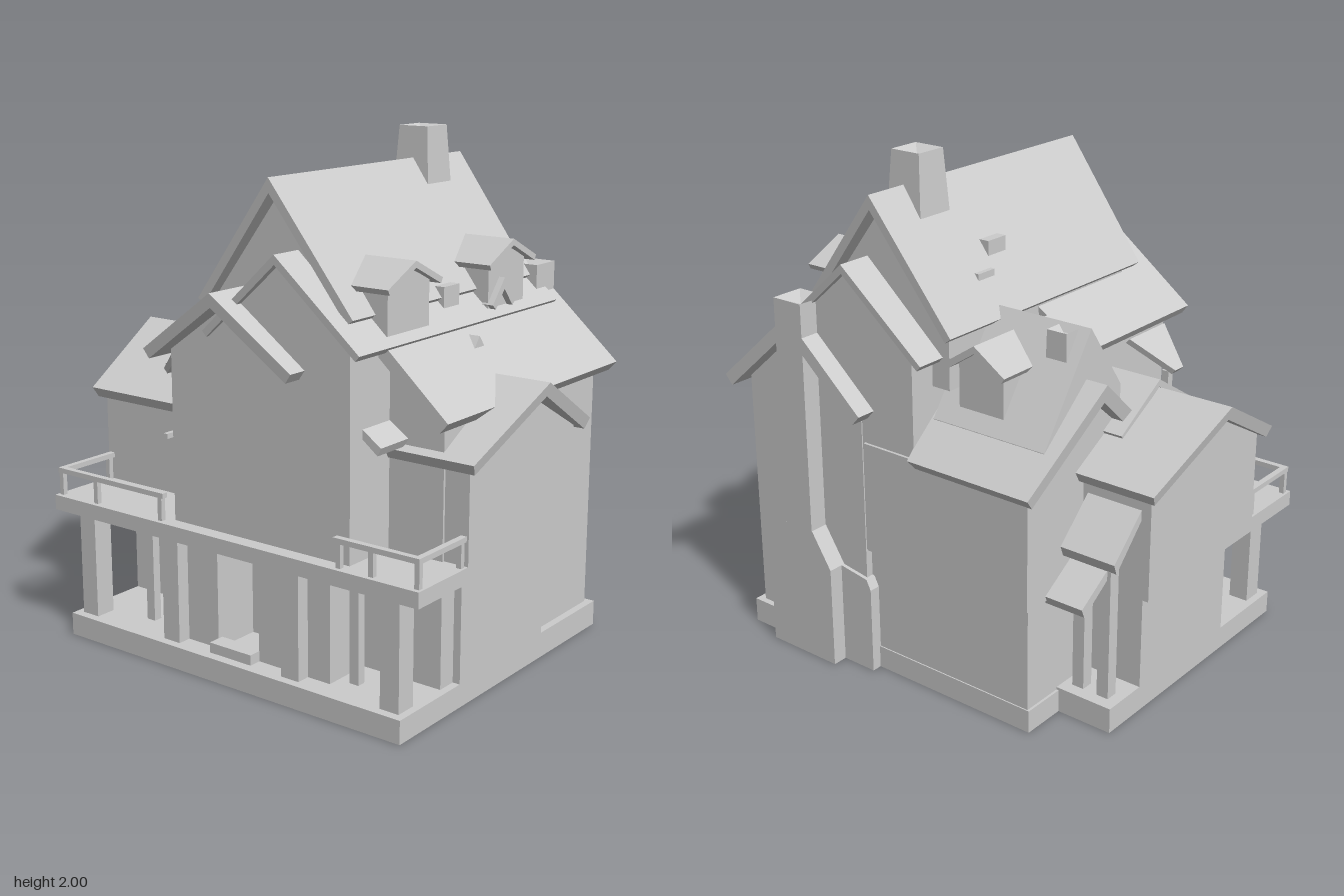
import * as THREE from 'three';

export function createModel() {
  const house = new THREE.Group();
  house.name = 'house';
  const mat = new THREE.MeshStandardMaterial({ color: 0xcccccc, flatShading: true });

  const add = (name, geo) => {
    const mesh = new THREE.Mesh(geo, mat);
    mesh.name = name;
    house.add(mesh);
    return mesh;
  };
  const box = (name, x0, x1, y0, y1, z0, z1) =>
    add(name, new THREE.BoxGeometry(x1 - x0, y1 - y0, z1 - z0)
      .translate((x0 + x1) / 2, (y0 + y1) / 2, (z0 + z1) / 2));
  const outline = pts => pts.map(p => new THREE.Vector2(...p));

  // Prism along an axis; points are [cross coordinate, y]; ends lean out by flare at the top
  const prism = (name, axis, from, to, pts, flare = 0) => {
    const s = axis === 'x' ? -1 : 1;
    const shape = new THREE.Shape(outline(pts.map(([a, y]) => [s * a, y])));
    const geo = new THREE.ExtrudeGeometry(shape, { depth: to - from, bevelEnabled: false });
    geo.translate(0, 0, from);
    if (flare) {
      const ys = pts.map(p => p[1]), lo = Math.min(...ys), hi = Math.max(...ys);
      const pos = geo.attributes.position, mid = (from + to) / 2;
      for (let i = 0; i < pos.count; i++) {
        const z = pos.getZ(i);
        pos.setZ(i, z + Math.sign(z - mid) * flare * (pos.getY(i) - lo) / (hi - lo));
      }
      geo.computeVertexNormals();
    }
    if (axis === 'x') geo.rotateY(Math.PI / 2);
    return add(name, geo);
  };
  // Gable roof of even thickness, its eaves cut square to the slope
  const roof = (name, axis, from, to, c, half, eave, ridge, t, flare) => {
    const slope = (ridge - eave) / half, inner = half - t * slope;
    prism(name, axis, from, to, [
      [c - inner, eave - t], [c - half, eave], [c, ridge], [c + half, eave],
      [c + inner, eave - t], [c, ridge - t * (1 + slope * slope)]], flare);
  };
  const gableWall = (name, axis, from, to, c, half, base, eave, ridge) =>
    prism(name, axis, from, to, [
      [c - half, base], [c + half, base], [c + half, eave], [c, ridge], [c - half, eave]]);
  const slab = (name, axis, from, to, a, b, t) =>
    prism(name, axis, from, to, [a, b, [b[0] - 0.015, b[1] - t], [a[0], a[1] - t]]);

  // Four-sided tapered block with a shallow hollow in its top
  const stack = (name, x, z, wTop, wBase, y0, y1) => {
    const k = Math.SQRT1_2;
    const prof = [[0, y0], [wBase * k, y0], [wTop * k, y1], [0, y1 - 0.03]];
    add(name, new THREE.LatheGeometry(outline(prof), 4)
      .toNonIndexed().rotateY(Math.PI / 4).translate(x, 0, z));
  };

  // Hollow foundation: edge wall, floor and joists beneath
  const plan = [[-0.69, -0.8], [0.27, -0.8], [0.27, -0.57], [0.62, -0.57], [0.62, 0.8], [-0.69, 0.8]];
  const hole = [[-0.64, -0.75], [0.22, -0.75], [0.22, -0.52], [0.57, -0.52], [0.57, 0.75], [-0.64, 0.75]];
  const flat = (name, shape, depth) =>
    add(name, new THREE.ExtrudeGeometry(shape, { depth, bevelEnabled: false })
      .rotateX(Math.PI / 2).translate(0, 0.09, 0));
  const edge = new THREE.Shape(outline(plan));
  edge.holes.push(new THREE.Path(outline(hole)));
  flat('foundationEdge', edge, 0.09);
  flat('groundFloor', new THREE.Shape(outline(plan)), 0.02);
  for (const x of [-0.4, -0.15, 0.1]) box('longJoist', x - 0.02, x + 0.02, 0, 0.08, -0.78, 0.78);
  for (const z of [-0.5, -0.25, 0, 0.25, 0.5]) box('crossJoist', -0.67, 0.6, 0.02, 0.08, z - 0.02, z + 0.02);
  box('frontPlinth', 0.25, 0.67, 0, 0.1, 0.64, 0.8);
  box('rearPlinth', 0.25, 0.44, 0, 0.1, -0.8, -0.56);
  box('porchStep', -0.65, -0.58, 0.09, 0.13, -0.1, 0.1);

  // Ground floor
  box('lowerWalls', -0.4, 0.615, 0.08, 0.52, -0.56, 0.5);
  box('wingLowerWalls', -0.32, 0.25, 0.08, 0.52, -0.8, 0.8);
  box('porchEntryBack', -0.6, -0.38, 0.08, 0.52, -0.28, -0.1);
  box('porchEntryFront', -0.6, -0.38, 0.08, 0.52, 0.1, 0.43);
  for (const z of [-0.62, -0.73]) box('rearDoorPost', 0.34, 0.39, 0.1, 0.62, z - 0.025, z + 0.025);

  // Long wing with gables front and back
  gableWall('wingUpperWalls', 'z', -0.87, 0.87, -0.035, 0.355, 0.51, 0.94, 1.12);
  roof('wingRoof', 'z', -0.9, 0.9, -0.03, 0.4, 0.95, 1.17, 0.04, 0.065);
  roof('wingRoofPatch', 'z', -0.66, -0.3, -0.03, 0.235, 1.055, 1.2, 0.02, 0);

  // Main block under the tallest roof
  gableWall('atticWalls', 'x', -0.53, 0.53, 0.16, 0.3, 1.2, 1.43, 1.825);
  roof('mainRoof', 'x', -0.575, 0.58, 0.16, 0.35, 1.42, 1.88, 0.02, 0.02);
  gableWall('middleWalls', 'x', -0.63, 0.64, 0.24, 0.3, 0.51, 1.328, 1.595);
  roof('middleRoof', 'x', -0.645, 0.65, 0.24, 0.35, 1.32, 1.63, 0.02, 0.02);

  // Front block
  gableWall('frontWalls', 'x', -0.4, 0.645, 0.48, 0.29, 0.05, 1.085, 1.345);
  roof('frontRoof', 'x', -0.47, 0.72, 0.48, 0.35, 1.09, 1.4, 0.037, 0);

  // Block facing left over the porch
  gableWall('leftWalls', 'x', -0.63, 0.05, 0, 0.28, 0.51, 1.235, 1.43);
  roof('leftRoof', 'x', -0.705, 0, 0, 0.345, 1.235, 1.48, 0.035, 0.025);

  // Back right block, with a steep cross roof and side dormers
  gableWall('backWalls', 'z', -0.58, 0.18, 0.3, 0.345, 0.51, 0.95, 1.22);
  roof('backRoof', 'z', -0.6, -0.07, 0.3, 0.38, 0.96, 1.28, 0.04, 0.06);
  prism('steepRoof', 'z', -0.57, -0.07, [
    [0.09, 1.05], [0.54, 1.03], [0.54, 1.08], [0.275, 1.46], [0.09, 1.2]]);
  gableWall('backDormer', 'x', 0.04, 0.5, -0.26, 0.1, 1.05, 1.31, 1.38);
  roof('backDormerRoof', 'x', 0, 0.54, -0.26, 0.135, 1.31, 1.4, 0.02, 0);
  stack('backChimney', 0.31, -0.478, 0.085, 0.095, 1.2, 1.45);

  // Front dormers
  for (const x of [-0.32, 0.32]) {
    gableWall('frontDormer', 'z', 0.3, 0.56, x, 0.125, 1.35, 1.52, 1.57);
    roof('frontDormerRoof', 'z', 0.3, 0.59, x, 0.165, 1.52, 1.6, 0.02, 0);
  }
  roof('smallGablet', 'z', 0.48, 0.585, 0.27, 0.08, 1.365, 1.46, 0.018, 0);
  box('frontRoofVent', -0.04, 0.06, 1.38, 1.46, 0.42, 0.52);
  prism('frontRoofPeak', 'z', 0.56, 0.65, [[-0.04, 1.24], [0.04, 1.24], [0, 1.29]]);
  box('rearRoofVent', 0.1, 0.2, 1.58, 1.66, -0.05, -0.01);
  box('rearRoofBar', 0.22, 0.31, 1.54, 1.57, -0.095, -0.07);

  // Chimneys
  stack('mainChimney', 0.345, 0.155, 0.13, 0.165, 1.72, 2);
  prism('sideChimneyBase', 'x', 0.58, 0.72, [
    [0.64, 0], [0.64, 0.41], [0.54, 0.55], [0.4, 0.55], [0.31, 0.41], [0.31, 0]]);
  stack('sideChimney', 0.652, 0.47, 0.136, 0.136, 0.5, 1.46);
  prism('sideButtress', 'x', 0.58, 0.66, [[0.31, 0], [0.31, 0.41], [0.18, 0.39], [0.16, 0.35], [0.16, 0]]);

  // Awnings
  slab('upperSideAwning', 'z', -0.83, -0.6, [0.31, 0.87], [0.48, 0.71], 0.04);
  slab('lowerSideAwning', 'z', -0.74, -0.57, [0.24, 0.72], [0.54, 0.53], 0.035);
  slab('frontAwning', 'x', -0.56, -0.39, [0.5, 1.07], [0.62, 0.99], 0.03);
  const hood = new THREE.Shape(outline([[-0.51, 0], [-0.27, 0], [-0.385, 0.19], [-0.44, 0.19]]));
  add('balconyAwning', new THREE.ExtrudeGeometry(hood, { depth: 0.025, bevelEnabled: false })
    .rotateX(-Math.PI / 2 - 0.75).translate(0, 1.2, -0.345));
  box('awningPost', -0.43, -0.4, 0.57, 1.07, -0.46, -0.43);
  box('awningPostArm', -0.5, -0.33, 0.83, 0.85, -0.455, -0.435);

  // Balcony deck and porch posts
  box('balconyDeck', -0.69, -0.35, 0.51, 0.57, -0.87, 0.87);
  for (const z of [-0.73, -0.29, 0.29, 0.73])
    box('porchPost', -0.655, -0.57, 0.09, 0.51, z - 0.04, z + 0.04);
  for (const z of [-0.5, 0.5])
    box('porchInnerPost', -0.55, -0.515, 0.09, 0.51, z - 0.02, z + 0.02);

  // Railings around both ends of the balcony
  for (const s of [-1, 1]) {
    const inner = s > 0 ? 0.5 : 0.3;
    const [a, b] = [s * inner, s * 0.86].sort((p, q) => p - q);
    box('sideRail', -0.675, -0.65, 0.66, 0.68, a, b);
    const e = s * 0.85;
    box('endRail', -0.675, -0.38, 0.66, 0.68, e - 0.012, e + 0.012);
    for (const z of [inner + 0.02, 0.66, 0.85])
      box('railPost', -0.672, -0.652, 0.57, 0.66, s * z - 0.01, s * z + 0.01);
    box('railPost', -0.42, -0.4, 0.57, 0.66, e - 0.01, e + 0.01);
  }
  return house;
}
